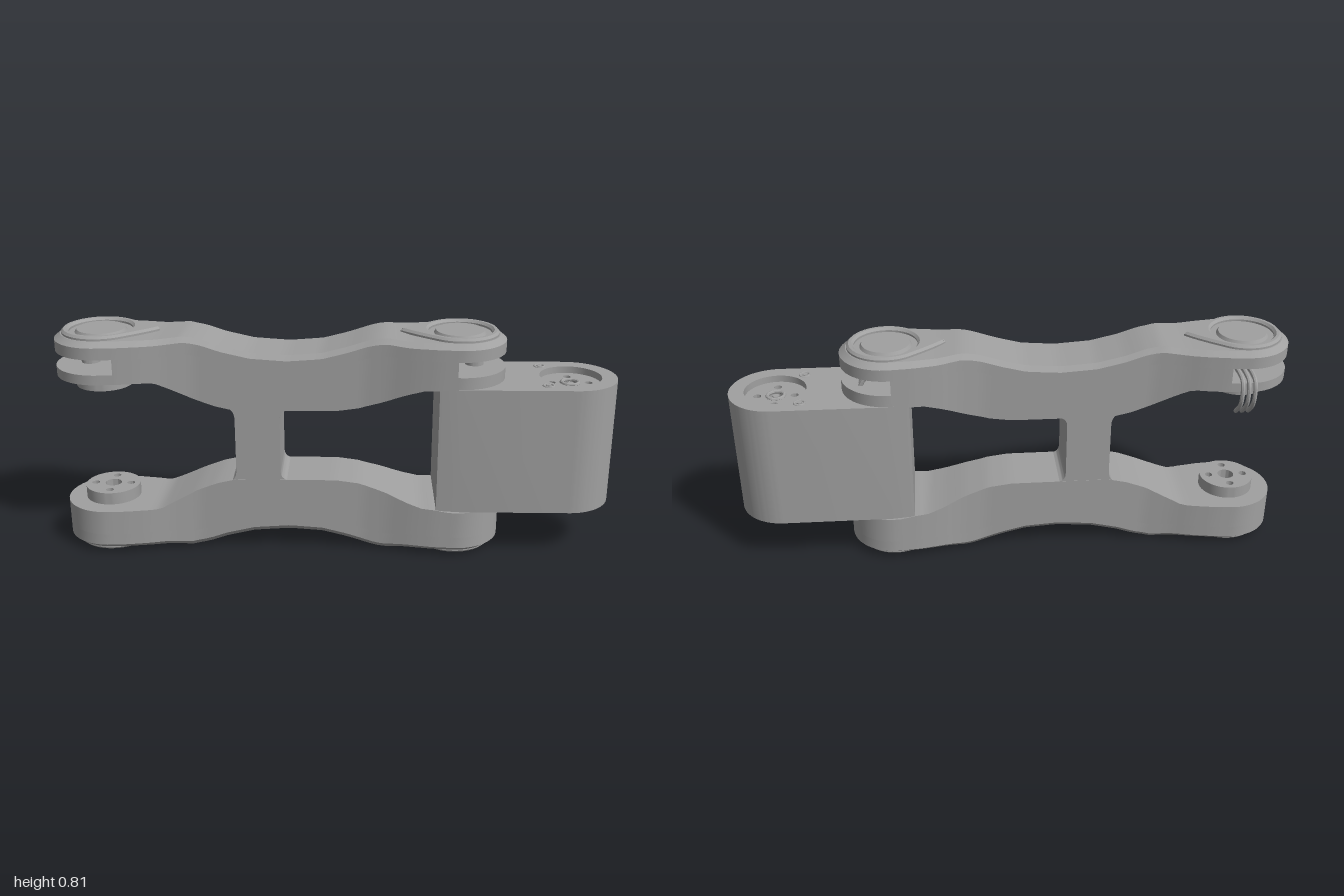
import * as THREE from 'three';
import { toCreasedNormals } from 'three/addons/utils/BufferGeometryUtils.js';

const R = 0.165, XL = -0.835, XR = 0.435, XM = 0.835, H = 0.815;
const metal = new THREE.MeshStandardMaterial({ color: 0xa0a0a0 });
metal.name = 'grey metal';

function part(name, geo, parent, x = 0, y = 0, z = 0) {
  const m = new THREE.Mesh(toCreasedNormals(geo, 0.5), metal);
  m.name = name;
  m.position.set(x, y, z);
  parent.add(m);
  return m;
}

// piecewise interpolation through [x, value] pairs
function curve(pts) {
  return x => {
    if (x <= pts[0][0]) return pts[0][1];
    for (let i = 1; i < pts.length; i++) {
      const [x0, a] = pts[i - 1], [x1, b] = pts[i];
      if (x <= x1) return a + (b - a) * (x - x0) / (x1 - x0);
    }
    return pts[pts.length - 1][1];
  };
}

const midWidth = curve([[XL, R], [-0.76, 0.159], [-0.68, 0.145], [-0.6, 0.125], [-0.5, 0.109],
  [0.1, 0.109], [0.19, 0.122], [0.27, 0.143], [0.35, 0.158], [XR, R]]);
const round = d => Math.sqrt(Math.max(R * R - d * d, 0));
const width = x => x < XL ? round(x - XL) : x > XR ? round(x - XR) : midWidth(x);
const outer = curve([[-0.62, 0.8], [-0.53, 0.808], [-0.47, 0.797], [-0.4, 0.773], [-0.3, 0.75], [-0.17, 0.741],
  [-0.05, 0.75], [0.04, 0.773], [0.12, 0.799], [0.17, 0.808], [0.25, 0.8]]);
const inner = curve([[-0.64, 0.65], [-0.58, 0.622], [-0.5, 0.582], [-0.43, 0.556], [-0.36, 0.54], [0, 0.541],
  [0.08, 0.552], [0.17, 0.58], [0.25, 0.613], [0.31, 0.632], [0.36, 0.634], [0.4, 0.642]]);
const lidBase = x => outer(x) - 0.06;

// stations along the beam, dense around the rounded ends
function stations(x0, x1) {
  const xs = [x0, x1];
  for (let i = 0; i <= 14; i++) {
    const c = R * Math.cos(i / 14 * Math.PI / 2);
    xs.push(XL - c, XR + c);
  }
  for (let i = 1; i < 50; i++) xs.push(XL + (XR - XL) * i / 50);
  return [...new Set(xs)].filter(x => x >= x0 && x <= x1).sort((a, b) => a - b);
}

// beam slice between two height rules, optionally with a chamfered top
function loft(x0, x1, low, high, chamfer) {
  const pos = [], idx = [], xs = stations(x0, x1), n = 6;
  for (const x of xs) {
    const w = width(x), b = low(x), t = high(x), k = chamfer ? 0.86 : 1;
    const cx = Math.min(Math.max(x, XL), XR), xt = cx + (x - cx) * k;
    const s = chamfer ? t - 0.018 : (b + t) / 2;
    pos.push(x, b, -w, x, s, -w, xt, t, -w * k, xt, t, w * k, x, s, w, x, b, w);
  }
  for (let i = 0; i < xs.length - 1; i++) for (let j = 0; j < n; j++) {
    const a = i * n + j, b = i * n + (j + 1) % n;
    idx.push(a, b, a + n, b, b + n, a + n);
  }
  const e = (xs.length - 1) * n;
  for (let k = 1; k < n - 1; k++) idx.push(0, k + 1, k, e, e + k, e + k + 1);
  const g = new THREE.BufferGeometry();
  g.setAttribute('position', new THREE.Float32BufferAttribute(pos, 3));
  g.setIndex(idx);
  return g;
}

const hole = (x, y, r) => new THREE.Path().absarc(x, y, r, 0, Math.PI * 2, true);

// extrudes a plan shape upwards
function slab(shape, depth, bevel = 0) {
  const g = new THREE.ExtrudeGeometry(shape, { depth, curveSegments: 32, bevelEnabled: bevel > 0,
    bevelThickness: bevel, bevelSize: bevel, bevelOffset: -bevel, bevelSegments: 1 });
  return g.rotateX(-Math.PI / 2);
}

// round flange with a centre hole and a ring of bolt holes
function flange(r, depth) {
  const s = new THREE.Shape().absarc(0, 0, r, 0, Math.PI * 2);
  s.holes.push(hole(0, 0, 0.03));
  for (let i = 0; i < 4; i++) {
    const a = i * Math.PI / 2;
    s.holes.push(hole(0.066 * Math.cos(a), 0.066 * Math.sin(a), 0.014));
  }
  return slab(s, depth);
}

// teardrop rim with a round cap inside, pointing to the middle of the beam
function jointCover(parent, x, dir) {
  const g = new THREE.Group();
  g.name = 'jointCover';
  g.position.set(x, 0.79, 0);
  if (dir < 0) g.rotation.y = Math.PI;
  const s = new THREE.Shape();
  s.absarc(0, 0, 0.138, 0.85, Math.PI * 2 - 0.85);
  s.quadraticCurveTo(0.175, -0.04, 0.21, 0);
  s.quadraticCurveTo(0.175, 0.04, 0.138 * Math.cos(0.85), 0.138 * Math.sin(0.85));
  s.holes.push(hole(0, 0, 0.112));
  part('teardropRim', slab(s, 0.009, 0.008), g, 0, 0.008, 0);
  part('roundCap', new THREE.CylinderGeometry(0.085, 0.1, 0.024, 48), g, 0, 0.009, 0);
  parent.add(g);
}

function beam(name, slotted) {
  const g = new THREE.Group();
  g.name = name;
  part('lid', loft(XL - R, XR + R, lidBase, outer, true), g);
  if (slotted) {
    part('beamBody', loft(-0.77, 0.42, inner, lidBase), g);
    part('leftLip', loft(XL - R, -0.77, inner, () => 0.685), g);
    part('rightLip', loft(0.42, XR + R, inner, () => 0.685), g);
    for (const x of [-0.88, 0.49]) part('slotPost', new THREE.CylinderGeometry(0.033, 0.033, 0.06, 24), g, x, 0.712, 0);
  } else {
    part('beamBody', loft(XL - R, XR + R, inner, lidBase), g);
  }
  part('jointFlange', flange(0.1, 0.047), g, XL, 0.605, 0);
  jointCover(g, XL, 1);
  jointCover(g, XR, -1);
  return g;
}

function cable(name, pts, parent) {
  const c = new THREE.CatmullRomCurve3(pts.map(p => new THREE.Vector3(...p)));
  part(name, new THREE.TubeGeometry(c, 32, 0.008, 8), parent);
}

export function createModel() {
  const root = new THREE.Group(), arm = new THREE.Group();
  root.name = 'armLink';
  arm.name = 'arm';
  arm.position.z = 0.03;
  root.add(arm);

  // two matching beams, the lower one turned over
  arm.add(beam('upperBeam', true));
  const lower = beam('lowerBeam', false);
  lower.rotation.x = Math.PI;
  lower.position.y = H;
  arm.add(lower);

  // central web with filleted corners
  const f = 0.035, a = -0.36, b = -0.2, y0 = 0.273, y1 = 0.542;
  const web = new THREE.Shape();
  web.moveTo(a - f, y0 - 0.015);
  web.lineTo(b + f, y0);
  web.quadraticCurveTo(b, y0, b, y0 + f);
  web.lineTo(b, y1 - f);
  web.quadraticCurveTo(b, y1, b + f, y1);
  web.lineTo(a - f, y1 + 0.015);
  web.quadraticCurveTo(a, y1, a, y1 - f);
  web.lineTo(a, y0 + f);
  web.quadraticCurveTo(a, y0, a - f, y0 - 0.015);
  part('centreWeb', new THREE.ExtrudeGeometry(web, { depth: 0.216, bevelEnabled: false, curveSegments: 8 }), arm, 0, 0, -0.108);

  // motor housing with a rounded end and bored ends
  const s = new THREE.Shape();
  s.moveTo(0.36, -0.155);
  s.lineTo(0.44, -R);
  s.absarc(XM, 0, R, -Math.PI / 2, Math.PI / 2);
  s.lineTo(0.44, R);
  s.lineTo(0.36, 0.155);
  s.closePath();
  s.holes.push(hole(XM, 0, 0.11));
  part('motorHousing', slab(s, 0.463), arm, 0, 0.178, 0);

  // fittings on both ends of the housing
  for (const top of [true, false]) {
    const g = new THREE.Group();
    g.name = top ? 'upperFittings' : 'lowerFittings';
    if (!top) {
      g.rotation.x = Math.PI;
      g.position.y = 0.819;
    }
    part('motorFlange', flange(0.11, 0.03), g, XM, 0.586, 0);
    part('boreFloor', new THREE.CylinderGeometry(0.11, 0.11, 0.02, 32), g, XM, 0.578, 0);
    part('hubRing', new THREE.TorusGeometry(0.03, 0.007, 8, 24).rotateX(Math.PI / 2), g, XM, 0.617, 0);
    part('hubPin', new THREE.CylinderGeometry(0.012, 0.012, 0.03, 16), g, XM, 0.602, 0);
    for (const z of [-0.11, 0.11]) {
      part('boltRing', new THREE.TorusGeometry(0.018, 0.004, 8, 20).rotateX(Math.PI / 2), g, 0.74, 0.641, z);
      part('bolt', new THREE.CylinderGeometry(0.01, 0.01, 0.008, 6), g, 0.74, 0.641, z);
    }
    arm.add(g);
  }

  // cable bundles leaving the slots
  for (let i = 0; i < 3; i++) {
    const x = -0.838 + i * 0.022, z = -0.035 - i * 0.02;
    cable('outerCable', [[x, 0.72, -0.09], [x, 0.721, -0.17], [x, 0.713, -0.205], [x, 0.69, -0.217],
      [x, 0.64, -0.216], [x, 0.612, -0.2], [x, 0.575, -0.162]], arm);
    cable('slotCable', [[0.41, 0.722, z], [0.47, 0.722, z], [0.51, 0.71, z], [0.53, 0.68, z]], arm);
  }
  return root;
}
